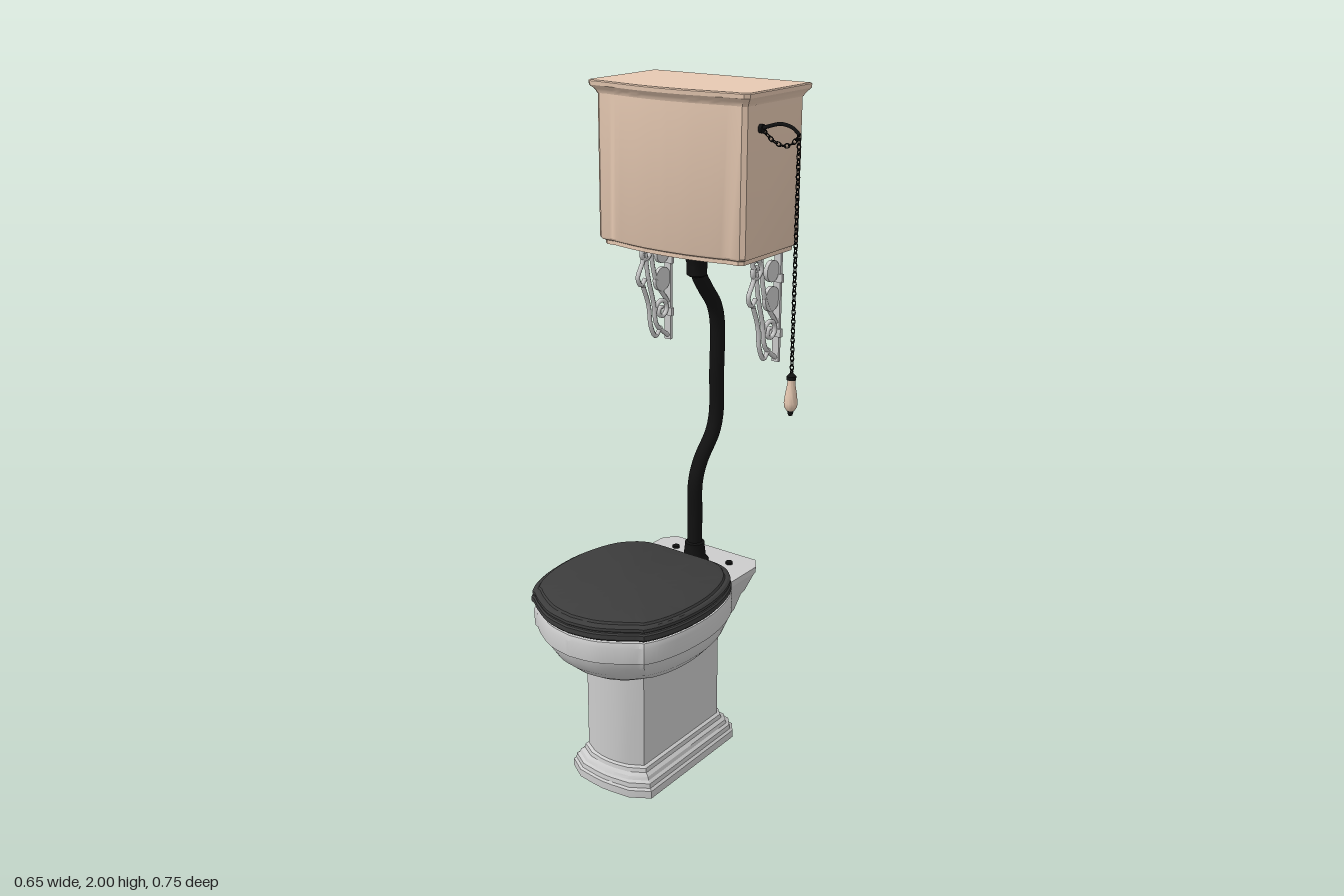
import * as THREE from 'three';
import { toCreasedNormals } from 'three/addons/utils/BufferGeometryUtils.js';

const V = (x, y, z) => new THREE.Vector3(x, y, z);
const mat = (color) => new THREE.MeshStandardMaterial({ color, side: THREE.DoubleSide });
const CX = -0.062; // shared centre line of bowl, pipe and cistern

export function createModel() {
  const grey = mat(0xcccccc), cream = mat(0xe6c9b2), black = mat(0x111111), dark = mat(0x3c3c3c);
  const model = new THREE.Group();
  model.name = 'highLevelToilet';
  const body = new THREE.Group();
  body.name = 'toiletAndCistern';
  body.position.x = CX;
  model.add(body);

  const add = (name, geometry, material, parent = body) => {
    const mesh = new THREE.Mesh(geometry, material);
    mesh.name = name;
    parent.add(mesh);
    return mesh;
  };

  // Skin a stack of closed outlines [x, z], each given its own height
  const loft = (rings, capBottom = true, capTop = true, crease = 0.5) => {
    const pos = [], tri = (...p) => p.forEach((v) => pos.push(v.x, v.y, v.z));
    const pts = rings.map(([y, outline]) => outline.map(([x, z]) => V(x, y, z)));
    const n = pts[0].length;
    for (let i = 0; i < pts.length - 1; i++) for (let j = 0; j < n; j++) {
      const k = (j + 1) % n, a = pts[i][j], b = pts[i][k], c = pts[i + 1][j], d = pts[i + 1][k];
      tri(a, c, b);
      tri(b, c, d);
    }
    const cap = (ring, up) => {
      const c = ring.reduce((s, p) => s.add(p), V(0, 0, 0)).divideScalar(n);
      ring.forEach((p, j) => (up ? tri(c, ring[(j + 1) % n], p) : tri(c, p, ring[(j + 1) % n])));
    };
    if (capBottom) cap(pts[0], false);
    if (capTop) cap(pts[pts.length - 1], true);
    const g = new THREE.BufferGeometry();
    g.setAttribute('position', new THREE.Float32BufferAttribute(pos, 3));
    return toCreasedNormals(g, crease);
  };

  // Complete a right half outline (back to front) with its left half
  const mirror = (half) => [...half, ...half.slice(1, -1).reverse().map(([x, z]) => [-x, z])];
  const smooth = (pts, n) => new THREE.SplineCurve(pts.map((p) => new THREE.Vector2(...p)))
    .getPoints(n).map((p) => [p.x, p.y]);
  const tube = (pts, r, n = 32, sides = 8) =>
    new THREE.TubeGeometry(new THREE.CatmullRomCurve3(pts), n, r, sides);
  const lathe = (pts, n = 24) => toCreasedNormals(
    new THREE.LatheGeometry(pts.map((p) => new THREE.Vector2(...p)), n).toNonIndexed(), 0.6);

  // Pedestal with stepped foot
  const pedestal = (o) => mirror([
    [0, -0.227 - o * 0.85], [0.08 + o, -0.225 - o * 0.85], [0.105 + o, -0.203 - o * 0.6],
    [0.105 + o, 0.168 + o * 0.5], [0.062 + o * 0.7, 0.192 + o * 0.75], [0.03, 0.2 + o * 0.75], [0, 0.202 + o * 0.75]]);
  add('pedestal', loft([
    [0, 0.043], [0.024, 0.043], [0.03, 0.036], [0.044, 0.034], [0.05, 0.026],
    [0.06, 0.022], [0.068, 0.012], [0.08, 0.009], [0.085, 0], [0.42, 0],
  ].map(([y, o]) => [y, pedestal(o)])), grey);

  // Seat outline: egg-shaped sides, small notch, bowed front
  const seatHalf = [
    ...smooth([[0, -0.18], [0.13, -0.177], [0.195, -0.135], [0.228, -0.08], [0.249, 0], [0.255, 0.08],
      [0.247, 0.17], [0.227, 0.245], [0.203, 0.292]], 32),
    ...smooth([[0.189, 0.297], [0.15, 0.325], [0.08, 0.362], [0, 0.376]], 14)];
  const egg = (s) => mirror(seatHalf.map(([x, z]) => [x * s, 0.09 + (z - 0.09) * s]));

  // Bowl: blends from the rim outline to an oval at the bottom, then down into the basin
  const bowlRing = (w, zf, zb, t) => mirror(seatHalf.map(([x, z], i) => {
    const a = (i / (seatHalf.length - 1) - 0.5) * Math.PI;
    const mid = (zf + zb) / 2, ex = w * Math.cos(a), ez = mid + (zf - zb) / 2 * Math.sin(a);
    const sx = x * w / 0.255, sz = zb + (z + 0.18) / 0.556 * (zf - zb);
    return [ex + (sx - ex) * t, ez + (sz - ez) * t];
  }));
  add('bowl', loft([
    [0.36, 0.085, 0.17, -0.1, 0], [0.366, 0.11, 0.2, -0.13, 0.1], [0.385, 0.155, 0.25, -0.16, 0.3],
    [0.412, 0.193, 0.292, -0.18, 0.6], [0.445, 0.222, 0.33, -0.19, 0.85], [0.475, 0.233, 0.35, -0.19, 1],
    [0.497, 0.236, 0.356, -0.19, 1], [0.502, 0.249, 0.37, -0.19, 1], [0.552, 0.251, 0.373, -0.19, 1],
    [0.566, 0.246, 0.367, -0.19, 1], [0.568, 0.19, 0.3, -0.12, 1], [0.5, 0.18, 0.28, -0.1, 0.8],
    [0.42, 0.1, 0.16, -0.06, 0.2],
  ].map(([y, ...r]) => [y, bowlRing(...r)])), grey);

  // Rear shelf that carries the flush pipe
  const shelf = (w, zb) => mirror([[0, zb], [w * 0.84, zb], [w, zb + 0.04], [w, -0.17], [w * 0.9, -0.1], [0, -0.1]]);
  add('rearShelf', loft([
    [0.36, 0.09, -0.18], [0.405, 0.115, -0.215], [0.42, 0.135, -0.24], [0.45, 0.15, -0.262], [0.495, 0.158, -0.285],
    [0.503, 0.162, -0.298], [0.55, 0.175, -0.328], [0.555, 0.178, -0.333], [0.573, 0.178, -0.335],
  ].map(([y, w, z]) => [y, shelf(w, z)])), grey);
  for (const s of [-1, 1]) {
    add('shelfBolt', new THREE.CylinderGeometry(0.011, 0.011, 0.008, 16), black).position.set(s * 0.1, 0.576, -0.265);
    add('seatHinge', new THREE.CylinderGeometry(0.012, 0.012, 0.035, 16), black).position.set(s * 0.075, 0.587, -0.175);
  }

  // Seat ring and closed lid
  add('seatRing', loft([
    [0.574, 0.72], [0.574, 0.98], [0.58, 1], [0.594, 1], [0.598, 0.985], [0.598, 0.72], [0.574, 0.72],
  ].map(([y, s]) => [y, egg(s)]), false, false), dark);
  add('seatLid', loft([
    [0.601, 0.98], [0.604, 0.992], [0.612, 0.99], [0.617, 0.965], [0.618, 0.935], [0.624, 0.92], [0.626, 0.9],
  ].map(([y, s]) => [y, egg(s)])), dark);

  // Cistern with bowed front, cornice lid and small plinth
  const cistern = (o) => mirror([
    [0, -0.361 - o], [0.248 + o, -0.361 - o], [0.248 + o, -0.098 + o], [0.236 + o, -0.088 + o],
    ...smooth([[0.205 + o, -0.088 + o], [0.14, -0.077 + o], [0.07, -0.068 + o], [0, -0.065 + o]], 12)]);
  const stack = (levels) => loft(levels.map(([y, o]) => [y, cistern(o)]));
  add('cistern', stack([[1.545, -0.012], [1.556, -0.012], [1.56, -0.003], [1.566, 0], [1.966, 0]]), cream);
  add('cisternLid', stack([[1.964, 0.002], [1.97, 0.004], [1.976, 0.008], [1.982, 0.014], [1.986, 0.017],
    [1.997, 0.018], [2, 0.015]]), cream);

  // Flush pipe with flared couplings
  add('flushPipe', tube([V(0, 1.53, -0.225), V(0, 1.47, -0.232), V(0, 1.42, -0.265), V(0, 1.36, -0.312),
    V(0, 1.3, -0.33), V(0, 1.15, -0.33), V(0, 1.02, -0.33), V(0, 0.965, -0.312), V(0, 0.89, -0.25),
    V(0, 0.83, -0.226), V(0, 0.72, -0.225), V(0, 0.57, -0.225)], 0.0225, 80, 16), black);
  add('lowerCoupling', lathe([[0, 0.572], [0.042, 0.572], [0.042, 0.58], [0.034, 0.59], [0.03, 0.625],
    [0.03, 0.635], [0.022, 0.638]]), black).position.z = -0.225;
  add('upperCoupling', lathe([[0.022, 1.46], [0.029, 1.465], [0.03, 1.5], [0.041, 1.53], [0.042, 1.546],
    [0, 1.546]]), black).position.z = -0.225;

  // Scrolled wall brackets
  const scroll = (cy, cz, r, turns, start) => Array.from({ length: 17 }, (_, i) => {
    const t = i / 16, a = start + t * turns * Math.PI * 2, q = r * (1 - 0.75 * t);
    return V(0, cy + q * Math.sin(a), cz + q * Math.cos(a));
  });
  for (const s of [-1, 1]) {
    const bracket = new THREE.Group();
    bracket.name = 'wallBracket';
    bracket.position.x = s * 0.193;
    body.add(bracket);
    add('bracketTop', new THREE.BoxGeometry(0.022, 0.012, 0.17), grey, bracket).position.set(0, 1.538, -0.27);
    add('bracketBack', new THREE.BoxGeometry(0.022, 0.325, 0.01), grey, bracket).position.set(0, 1.375, -0.35);
    const strips = [
      [V(0, 1.535, -0.215), V(0, 1.48, -0.225), V(0, 1.43, -0.2), V(0, 1.405, -0.215), V(0, 1.42, -0.235)],
      [V(0, 1.5, -0.235), V(0, 1.42, -0.25), V(0, 1.34, -0.275), V(0, 1.27, -0.29), V(0, 1.225, -0.345)],
      [V(0, 1.4, -0.225), V(0, 1.34, -0.25), V(0, 1.27, -0.262), V(0, 1.235, -0.285), V(0, 1.26, -0.31)],
      [V(0, 1.53, -0.26), V(0, 1.46, -0.27), V(0, 1.4, -0.29), V(0, 1.33, -0.345)],
      scroll(1.31, -0.315, 0.034, 1.3, 0), scroll(1.5, -0.235, 0.032, 1.3, 1),
    ];
    for (const p of strips) add('bracketScroll', tube(p, 0.0065, 28, 6), grey, bracket).scale.x = 1.2;
    for (const [y, r] of [[1.485, 0.031], [1.405, 0.036]]) {
      const rosette = add('bracketRosette', new THREE.CylinderGeometry(r, r, 0.012, 24), grey, bracket);
      rosette.rotation.z = Math.PI / 2;
      rosette.position.set(0, y, -0.315);
    }
    for (const y of [1.46, 1.3])
      add('bracketLug', new THREE.BoxGeometry(0.038, 0.024, 0.012), grey, bracket).position.set(0, y, -0.346);
  }

  // Pull lever, chain and handle
  const pull = new THREE.Group();
  pull.name = 'pullChain';
  pull.position.z = -0.157;
  model.add(pull);
  add('lever', tube([V(0.18, 1.9, 0), V(0.205, 1.908, 0), V(0.25, 1.919, 0), V(0.285, 1.912, 0), V(0.306, 1.896, 0)],
    0.005), black, pull);
  const rose = add('leverRose', new THREE.CylinderGeometry(0.012, 0.012, 0.012, 16), black, pull);
  rose.rotation.z = Math.PI / 2;
  rose.position.set(0.19, 1.902, 0);
  const chain = (curve, count) => {
    for (let i = 0; i < count; i++) {
      const t = (i + 0.5) / count, link = new THREE.Group();
      link.name = 'chainLink';
      link.position.copy(curve.getPointAt(t));
      link.quaternion.setFromUnitVectors(V(0, 1, 0), curve.getTangentAt(t));
      add('link', new THREE.TorusGeometry(0.0055, 0.0017, 5, 10), black, link).scale.y = 1.5;
      link.children[0].rotation.y = (i % 2) * Math.PI / 2;
      pull.add(link);
    }
  };
  chain(new THREE.CatmullRomCurve3([V(0.195, 1.9, 0), V(0.225, 1.875, 0), V(0.26, 1.864, 0), V(0.285, 1.872, 0),
    V(0.304, 1.893, 0)]), 10);
  chain(new THREE.LineCurve3(V(0.305, 1.898, 0), V(0.305, 1.255, 0)), 50);
  const parts = [
    ['handleFinial', [[0, 1.135], [0.006, 1.138], [0.008, 1.146], [0.01, 1.153], [0, 1.155]], black],
    ['handleGrip', [[0, 1.152], [0.012, 1.153], [0.018, 1.163], [0.019, 1.175], [0.016, 1.2], [0.011, 1.228],
      [0.011, 1.242], [0, 1.243]], cream],
    ['handleCap', [[0, 1.24], [0.013, 1.24], [0.013, 1.25], [0.007, 1.257], [0, 1.262]], black]];
  for (const [name, profile, material] of parts) add(name, lathe(profile, 20), material, pull).position.x = 0.305;

  return model;
}
